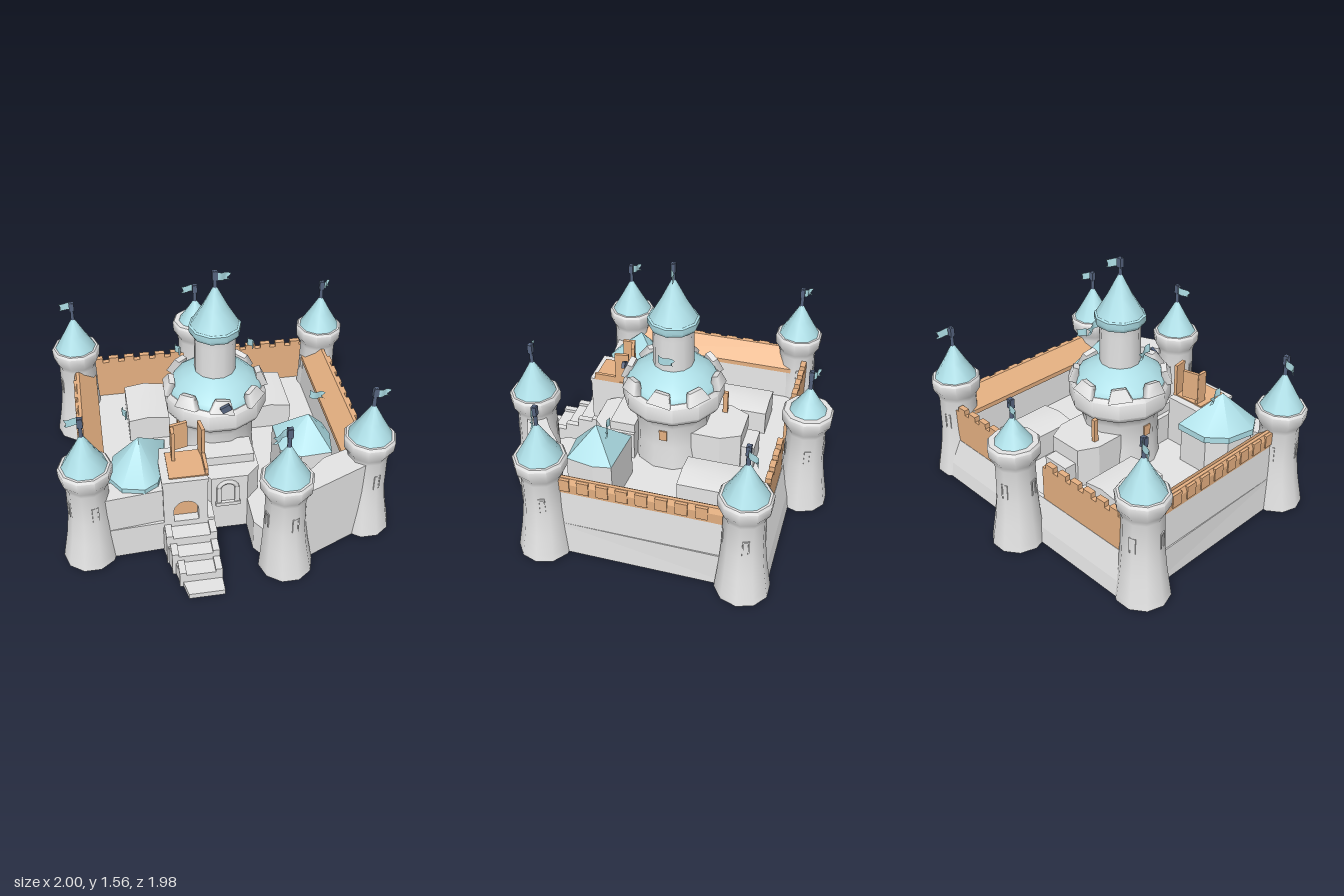
import * as THREE from 'three';
import { toCreasedNormals } from 'three/addons/utils/BufferGeometryUtils.js';

const mat = (name, color, side = THREE.FrontSide) => {
  const m = new THREE.MeshStandardMaterial({ color, side });
  m.name = name;
  return m;
};

export function createModel() {
  const castle = new THREE.Group();
  castle.name = 'castle';
  const stone = mat('pale stone', 0xe4e4e4);
  const roof = mat('light teal', 0xaedfe7, THREE.DoubleSide);
  const clay = mat('warm clay', 0xe6b182);
  const navy = mat('dark navy', 0x56647f);

  const add = (name, geo, m, x = 0, y = 0, z = 0, parent = castle) => {
    const mesh = new THREE.Mesh(geo, m);
    mesh.name = name;
    mesh.position.set(x, y, z);
    parent.add(mesh);
    return mesh;
  };
  const box = (name, m, x0, x1, y0, y1, z0, z1, parent) =>
    add(name, new THREE.BoxGeometry(x1 - x0, y1 - y0, z1 - z0), m,
      (x0 + x1) / 2, (y0 + y1) / 2, (z0 + z1) / 2, parent);
  const lathe = (pts, seg) =>
    new THREE.LatheGeometry(pts.map(p => new THREE.Vector2(...p)), seg, Math.PI / seg);
  // Upright prism over a plan outline of [x, z] points
  const prism = (name, m, pts, y0, y1) => {
    const s = new THREE.Shape(pts.map(([x, z]) => new THREE.Vector2(x, -z)));
    const g = new THREE.ExtrudeGeometry(s, { depth: y1 - y0, bevelEnabled: false });
    return add(name, g.rotateX(-Math.PI / 2), m, 0, y0, 0);
  };
  // Pointed roof from an eave outline to a tip
  const pitched = (name, pts, y, tip) => {
    const v = [];
    pts.forEach(([x, z], i) => {
      const [bx, bz] = pts[(i + 1) % pts.length];
      v.push(x, y, z, bx, y, bz, ...tip);
    });
    const g = new THREE.BufferGeometry();
    g.setAttribute('position', new THREE.Float32BufferAttribute(v, 3));
    g.computeVertexNormals();
    add(name, toCreasedNormals(g, 0.9), roof);
  };

  // Wavy swallow-tail cloth starting at the pole
  const cloth = new THREE.PlaneGeometry(0.1, 0.055, 5, 2).translate(0.05, 0, 0);
  const cp = cloth.attributes.position;
  for (let i = 0; i < cp.count; i++) {
    const x = cp.getX(i), y = cp.getY(i);
    const tail = x > 0.09 && Math.abs(y) < 0.01 ? -0.025 : 0;
    cp.setXYZ(i, x + tail, y * (1 - 3 * x * (1 - x * 6)) - x * 0.3, 0.014 * Math.sin(x * 60));
  }
  cloth.computeVertexNormals();
  const flag = (x, y, z, turn, parent) => {
    add('flagPole', new THREE.CylinderGeometry(0.011, 0.014, 0.16, 6), navy, x, y - 0.08, z, parent);
    add('flagCloth', cloth, roof, x, y - 0.03, z, parent).rotation.y = turn;
    box('flagBand', navy, x - 0.016, x + 0.016, y - 0.06, y - 0.002, z - 0.014, z + 0.014, parent);
  };

  // Round outer towers
  const tower = (name, x, z, roofR, tipY, turn) => {
    const g = new THREE.Group();
    g.name = name;
    g.position.set(x, 0, z);
    castle.add(g);
    const body = lathe([[0, 0.02], [0.162, 0.02], [0.157, 0.06], [0.138, 0.2], [0.124, 0.35], [0.12, 0.56],
      [0.128, 0.59], [0.152, 0.63], [0.156, 0.69], [0.145, 0.705], [0, 0.705]], 10);
    const p = body.attributes.position;
    for (let i = 0; i < p.count; i++) {
      const k = 0.016 * Math.max(0, 1 - p.getY(i) / 0.3);
      p.setX(i, p.getX(i) + Math.sign(Math.round(x * 2)) * k);
      p.setZ(i, p.getZ(i) + Math.sign(z) * k * 0.6);
    }
    add('shaft', toCreasedNormals(body, 0.8), stone, 0, 0, 0, g);
    add('coneRoof', lathe([[roofR, 0.7], [roofR * 0.52, 0.7 + (tipY - 0.7) * 0.48], [0.004, tipY]], 10), roof, 0, 0, 0, g);
    // Slit windows with a slightly raised frame
    for (let i = 0; i < 4; i++) {
      const w = new THREE.Group();
      w.name = 'slitWindow';
      w.rotation.y = i * Math.PI / 2 + 0.3;
      g.add(w);
      for (const s of [-1, 1]) box('windowJamb', stone, s * 0.016 - 0.004, s * 0.016 + 0.004, 0.37, 0.46, 0.11, 0.122, w);
      box('windowHead', stone, -0.02, 0.02, 0.46, 0.47, 0.11, 0.122, w);
    }
    flag(0, tipY + 0.11, 0, turn, g);
  };
  tower('frontRightTower', -0.825, 0.54, 0.134, 0.93, 2.6);
  tower('frontLeftTower', 0.825, 0.54, 0.134, 0.93, 0.1);
  tower('backRightTower', -0.825, -0.64, 0.134, 0.93, 2.5);
  tower('backLeftTower', 0.825, -0.64, 0.134, 0.93, 0.7);
  tower('gateTower', 0.272, 0.805, 0.134, 0.93, 3.3);
  tower('rearTower', 0, -0.835, 0.115, 0.87, 2.6);

  // Raised courtyard base, notched at the gate
  prism('courtyardBase', stone, [[-0.87, -0.72], [0.87, -0.72], [0.86, 0.56], [0.8, 0.62], [0.4, 0.8], [0.2, 0.8],
    [0.12, 0.68], [0.12, 0.48], [-0.1, 0.48], [-0.1, 0.6], [-0.4, 0.6], [-0.8, 0.62], [-0.86, 0.56]], 0.02, 0.24);

  // Side walls: stone below, clay walkway on top sloping inward
  for (const s of [-1, 1]) {
    const slab = (name, m, pts) => {
      const sh = new THREE.Shape(pts.map(([x, y]) => new THREE.Vector2(s * x, y)));
      add(name, new THREE.ExtrudeGeometry(sh, { depth: 1.16, bevelEnabled: false }), m, 0, 0, -0.63);
    };
    slab('sideWall', stone, [[0.87, 0.02], [0.85, 0.47], [0.72, 0.45], [0.71, 0.24], [0.71, 0.02]]);
    slab('sideWallCap', clay, [[0.85, 0.47], [0.854, 0.54], [0.84, 0.575], [0.82, 0.575], [0.71, 0.47], [0.71, 0.44]]);
    for (let i = 0; i < 8; i++) {
      const z = -0.44 + i * 0.115;
      box('capBlock', clay, s * 0.845 - 0.014, s * 0.845 + 0.014, 0.49, 0.572, z, z + 0.07);
    }
    // Rear wall half with merlons
    const a = s < 0 ? -0.74 : 0.1, b = a + 0.64;
    box('rearWall', clay, a, b, 0.22, 0.515, -0.72, -0.685);
    for (let i = 0; i < 6; i++) box('merlon', clay, a + 0.02 + i * 0.105, a + 0.085 + i * 0.105, 0.515, 0.548, -0.72, -0.685);
    // Courtyard building with a shallow top
    const hall = new THREE.BoxGeometry(0.26, 0.18, 0.37, 2, 1, 2);
    const hp = hall.attributes.position;
    for (let i = 0; i < hp.count; i++)
      if (hp.getY(i) > 0 && Math.abs(hp.getX(i)) < 0.01) hp.setY(i, hp.getY(i) + 0.02);
    hall.computeVertexNormals();
    add('courtyardHall', hall, stone, s * 0.4, 0.31, -0.355);
    // Small side window of the keep
    box('keepSideWindow', clay, s * 0.235 - 0.004, s * 0.235 + 0.004, 0.46, 0.53, -0.025, 0.025);
  }

  // Sloping foot of the rear wall
  const foot = new THREE.Shape([[0.7, 0.02], [0.785, 0.02], [0.77, 0.12], [0.722, 0.29], [0.7, 0.29]].map(p => new THREE.Vector2(...p)));
  add('rearWallFoot', new THREE.ExtrudeGeometry(foot, { depth: 1.6, bevelEnabled: false }).rotateY(Math.PI / 2), stone, -0.8, 0, 0);

  // Front walls
  prism('frontLeftWall', stone, [[0.3, 0.74], [0.36, 0.83], [0.8, 0.64], [0.76, 0.47], [0.56, 0.54], [0.42, 0.66]], 0.02, 0.56);
  prism('frontRightWall', stone, [[-0.82, 0.5], [-0.78, 0.62], [-0.4, 0.58], [-0.4, 0.4]], 0.02, 0.48);

  // Houses beside the gate with pointed roofs
  const eaveR = [[-0.34, 0.17], [-0.55, 0.17], [-0.66, 0.27], [-0.7, 0.45], [-0.63, 0.56], [-0.5, 0.59], [-0.42, 0.54], [-0.37, 0.4]];
  const eaveL = [[0.64, 0.19], [0.33, 0.17], [0.33, 0.4], [0.44, 0.48], [0.63, 0.47], [0.66, 0.3]];
  prism('rightHouse', stone, eaveR.map(([x, z]) => [-0.52 + (x + 0.52) * 0.93, 0.38 + (z - 0.38) * 0.93]), 0.2, 0.48);
  prism('rightHouseEave', roof, eaveR, 0.47, 0.51);
  pitched('rightHouseRoof', eaveR, 0.51, [-0.51, 0.72, 0.37]);
  prism('leftHouse', stone, eaveL, 0.2, 0.53);
  pitched('leftHouseRoof', eaveL, 0.53, [0.51, 0.72, 0.32]);

  // Gatehouse with an arched doorway
  box('gatehouse', stone, -0.4, -0.14, 0.02, 0.55, 0.3, 0.54);
  const front = new THREE.Shape([[-0.4, 0.02], [-0.14, 0.02], [-0.14, 0.55], [-0.4, 0.55]].map(p => new THREE.Vector2(...p)));
  const arch = new THREE.Path();
  arch.moveTo(-0.34, 0.15).lineTo(-0.34, 0.32).absarc(-0.267, 0.32, 0.073, Math.PI, 0, true).lineTo(-0.194, 0.15).closePath();
  front.holes.push(arch);
  add('gateFront', new THREE.ExtrudeGeometry(front, { depth: 0.06, bevelEnabled: false, curveSegments: 8 }), stone, 0, 0, 0.54);
  box('gateDoor', clay, -0.345, -0.19, 0.23, 0.41, 0.54, 0.546);
  box('gateSill', stone, -0.35, -0.185, 0.14, 0.23, 0.53, 0.6);
  box('gateCornice', stone, -0.405, -0.135, 0.535, 0.555, 0.3, 0.605);
  box('gateRoofFloor', clay, -0.36, -0.13, 0.555, 0.563, 0.35, 0.575);
  box('lookoutPanel', clay, -0.325, -0.22, 0.59, 0.775, 0.34, 0.36).rotation.y = 0.25;
  box('lookoutPost', clay, -0.325, -0.305, 0.56, 0.77, 0.36, 0.43);
  box('lookoutSide', clay, -0.155, -0.135, 0.56, 0.775, 0.34, 0.43).rotation.y = 0.15;
  box('lookoutRail', clay, -0.15, -0.13, 0.56, 0.6, 0.42, 0.57);

  // Entrance stairs narrowing to the front
  [[0.58, 0.7, 0.2, 0], [0.7, 0.79, 0.14, 0.02], [0.79, 0.89, 0.09, 0.05], [0.89, 0.985, 0.035, 0.08]].forEach(([z0, z1, y, d]) => {
    prism('stairStep', stone, [[-0.41 + d, z0], [-0.1, z0], [-0.1, z1], [-0.39 + d, z1]], 0, y);
    if (y > 0.05) for (const x of [-0.4 + d, -0.14]) box('stairKerb', stone, x, x + 0.04, 0, y + 0.02, z0, z1);
  });

  // Central keep
  add('keepBody', toCreasedNormals(lathe([[0.25, 0.2], [0.235, 0.4], [0.235, 0.55], [0.255, 0.6], [0.3, 0.63],
    [0.315, 0.66], [0.31, 0.75], [0.29, 0.775], [0.1, 0.775]], 12), 0.7), stone);
  add('keepRoof', lathe([[0.285, 0.775], [0.27, 0.805], [0.2, 0.86], [0.12, 0.9]], 12), roof);
  for (let i = 0; i < 8; i++) {
    const g = new THREE.Group();
    g.name = 'battlement';
    g.rotation.y = i * Math.PI / 4;
    castle.add(g);
    const m = add('battlementStone', new THREE.CylinderGeometry(0.06, 0.105, 0.08, 4, 1, false, Math.PI / 4), stone, 0, 0.805, 0.275, g);
    m.scale.z = 0.42;
    m.rotation.set(-0.25, 0, i % 2 ? 0.15 : -0.15);
  }
  add('keepTower', lathe([[0.126, 0.8], [0.124, 1.1], [0.13, 1.16]], 12), stone);
  add('keepTowerEave', toCreasedNormals(lathe([[0.12, 1.145], [0.145, 1.15], [0.156, 1.17], [0.156, 1.205],
    [0.14, 1.215], [0, 1.215]], 10), 0.7), roof);
  add('keepSpire', lathe([[0.146, 1.21], [0.075, 1.33], [0.03, 1.42], [0.004, 1.47]], 10), roof);
  flag(0, 1.56, 0, 0.15);

  // Keep porch and its window frame
  prism('keepPorch', stone, [[-0.14, 0.2], [0.2, 0.2], [0.2, 0.4], [0.12, 0.48], [-0.1, 0.48], [-0.14, 0.42]], 0.02, 0.43);
  box('porchStep', stone, -0.11, 0.18, 0.43, 0.49, 0.2, 0.36);
  for (const x of [-0.068, 0.04]) box('porchJamb', stone, x, x + 0.028, 0.23, 0.36, 0.47, 0.495);
  box('porchSill', stone, -0.075, 0.075, 0.22, 0.245, 0.47, 0.5);
  const hood = add('porchHood', new THREE.TorusGeometry(0.054, 0.015, 5, 8, Math.PI), stone, 0, 0.35, 0.482);
  hood.scale.y = 0.9;

  // Stepped rear annex of the keep
  prism('keepAnnex', stone, [[-0.11, -0.46], [0.11, -0.46], [0.17, -0.34], [0.17, -0.15], [-0.17, -0.15], [-0.17, -0.34]], 0.2, 0.5);
  box('annexStep', stone, -0.09, 0.09, 0.2, 0.4, -0.54, -0.45);
  box('annexPost', clay, -0.115, -0.09, 0.48, 0.65, -0.325, -0.295);

  // Loose pennants around the keep and over the houses
  [[-0.22, 1.05, 0.03, Math.PI / 2], [0.22, 1.05, 0.03, Math.PI / 2], [0.54, 0.79, 0.22, 0], [-0.57, 0.8, 0.27, Math.PI / 2]]
    .forEach(([x, y, z, t]) => { add('pennant', cloth, roof, x, y, z).rotation.y = t; });
  box('keepFlagKnot', navy, -0.015, 0.045, 0.795, 0.835, 0.3, 0.32).rotation.z = 0.5;
  return castle;
}
